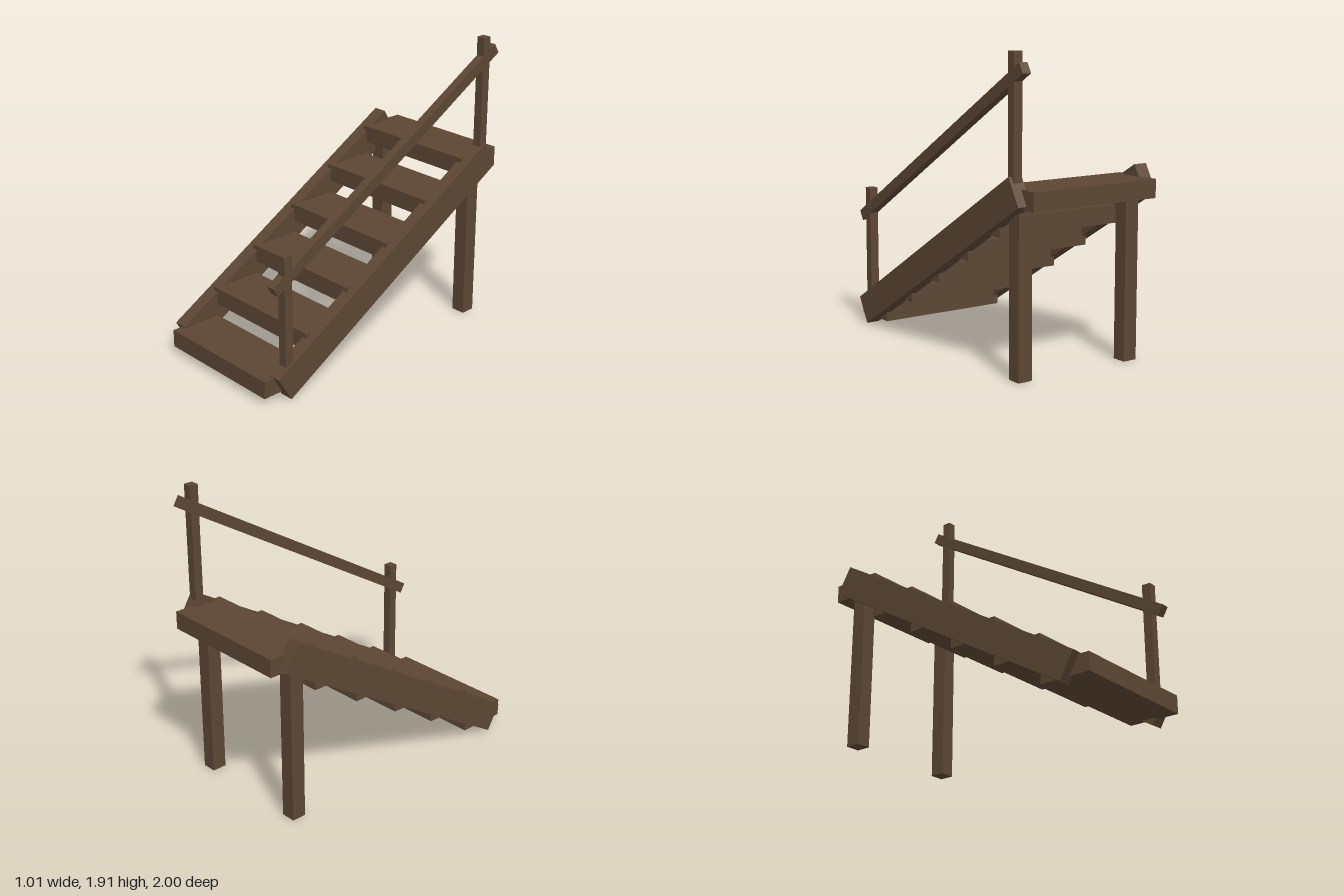
import * as THREE from 'three';

export function createModel() {
  const group = new THREE.Group();
  const wood = new THREE.MeshStandardMaterial({ color: 0x5c4634 });
  wood.name = 'dark brown wood';
  const slope = THREE.MathUtils.degToRad(30.5);

  // One plank or beam, optionally pitched to the slope of the stairs
  function beam(name, size, position, pitch = 0) {
    const mesh = new THREE.Mesh(new THREE.BoxGeometry(...size), wood);
    mesh.name = name;
    mesh.position.set(...position);
    mesh.rotation.x = pitch;
    group.add(mesh);
  }

  // Sloping side beams and the rear legs that hold up the top
  for (const [side, s] of [['left', 1], ['right', -1]]) {
    beam(side + 'Stringer', [0.09, 0.19, 2.06], [s * 0.46, 0.607, 0], slope);
    beam(side + 'Leg', [0.095, 1.03, 0.095], [s * 0.393, 0.515, -0.803]);
  }

  // Six treads rising from front to back
  const steps = 6, depth = 2 / steps, rise = 0.1965;
  for (let i = 0; i < steps; i++) {
    beam('tread' + (i + 1), [0.894, 0.115, depth], [0, 0.0995 + i * rise, 1 - depth * (i + 0.5)]);
  }

  // Handrail with two posts, on the left side only
  beam('frontPost', [0.058, 0.715, 0.058], [0.457, 0.5735, 0.835]);
  beam('backPost', [0.058, 0.74, 0.058], [0.457, 1.545, -0.835]);
  beam('handrail', [0.056, 0.07, 2.16], [0.457, 1.278, 0], slope);

  return group;
}
